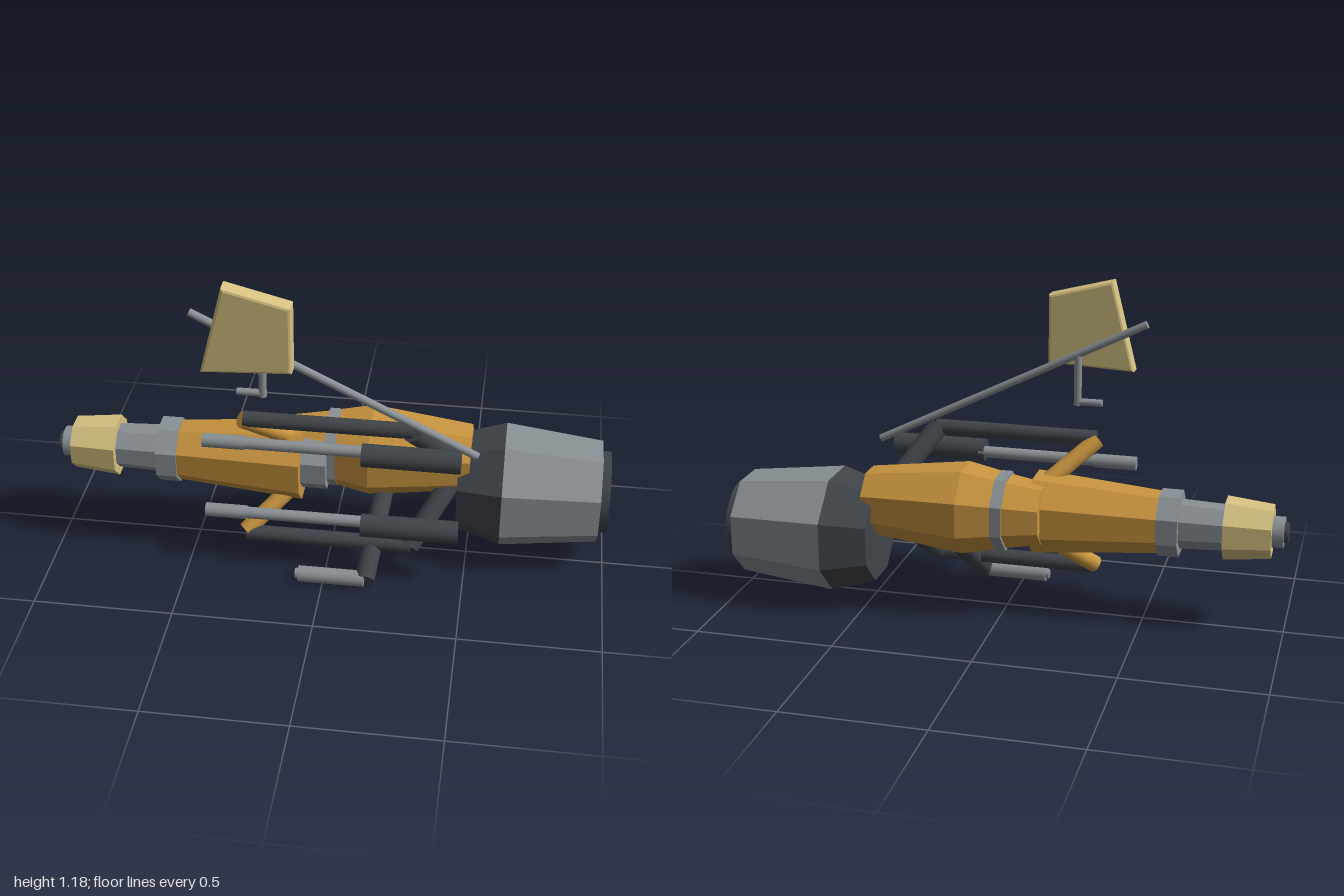
import * as THREE from 'three';

const mat = (name, color, flatShading = false) => {
  const m = new THREE.MeshStandardMaterial({ color, flatShading });
  m.name = name;
  return m;
};

export function createModel() {
  const group = new THREE.Group();
  const orange = mat('orange', 0xc8943f);
  const cream = mat('cream', 0xd6c282);
  const grey = mat('grey', 0x8a9195);
  const dark = mat('charcoal', 0x40454a);

  const add = (name, geometry, material) => {
    const mesh = new THREE.Mesh(geometry, material);
    mesh.name = name;
    group.add(mesh);
    return mesh;
  };

  // Eight-sided section along x; a0 and a1 are half-heights across the flats
  const section = (name, x0, x1, a0, a1, y, z, material) => {
    const k = Math.cos(Math.PI / 8);
    const g = new THREE.CylinderGeometry(a0 / k, a1 / k, x1 - x0, 8).toNonIndexed();
    g.rotateY(Math.PI / 8).rotateZ(Math.PI / 2);
    g.computeVertexNormals();
    g.translate((x0 + x1) / 2, y, z);
    return add(name, g, material);
  };

  // Round rod between two points
  const rod = (name, a, b, r, material, sides = 20) => {
    const p = new THREE.Vector3(...a), q = new THREE.Vector3(...b);
    const dir = q.clone().sub(p);
    const mesh = add(name, new THREE.CylinderGeometry(r, r, dir.length(), sides), material);
    mesh.position.copy(p).add(q).multiplyScalar(0.5);
    mesh.quaternion.setFromUnitVectors(new THREE.Vector3(0, 1, 0), dir.normalize());
    return mesh;
  };

  // Nose and forward body
  const fy = 0.375, fz = 0.014;
  rod('noseTip', [-1, fy, fz], [-0.98, fy, fz], 0.036, dark);
  rod('noseCap', [-0.985, fy, fz], [-0.94, fy, fz], 0.055, grey);
  section('noseCone', -0.945, -0.78, 0.088, 0.104, fy, fz, cream);
  section('neck', -0.79, -0.62, 0.075, 0.081, fy, fz, grey);
  section('collar', -0.625, -0.55, 0.11, 0.11, fy, fz, grey);
  section('forwardBody', -0.55, -0.1, 0.102, 0.138, fy, fz, orange);
  section('innerCore', -0.1, -0.01, 0.096, 0.096, fy, fz, grey);

  // Rear body
  const ry = 0.392, rz = -0.055;
  section('rearBodyFront', -0.145, -0.02, 0.102, 0.122, ry, rz, orange);
  section('bodyRing', -0.02, 0.02, 0.132, 0.132, ry, rz, grey);
  section('rearBodyMiddle', 0.02, 0.14, 0.13, 0.153, ry, rz, orange);
  section('rearBodyBack', 0.14, 0.5, 0.153, 0.112, ry, rz, orange);

  // Engine
  const ey = 0.275, ez = -0.07;
  section('engineIntake', 0.46, 0.62, 0.166, 0.21, ey, ez, dark);
  section('engineShell', 0.62, 0.968, 0.21, 0.173, ey, ez, grey);
  rod('exhaust', [0.96, ey, ez], [1, ey, ez], 0.148, dark, 40);

  // Upper and lower cannons with their protective rails and struts
  for (const s of [1, -1]) {
    const side = s > 0 ? 'upper' : 'lower';
    const y = 0.38 + s * 0.15, railY = 0.375 + s * 0.245;
    rod(side + 'Muzzle', [-0.435, y, 0.17], [-0.285, y, 0.17], 0.025, grey);
    rod(side + 'Barrel', [-0.29, y, 0.17], [0.15, y, 0.17], 0.021, grey);
    rod(side + 'CannonHousing', [0.13, y, 0.19], [0.475, y, 0.19], 0.041, dark);
    rod(side + 'Rail', [-0.29, railY, 0.152], [0.305, railY, 0.152], 0.028, dark);
    rod(side + 'FrontStrut', [-0.295, railY - s * 0.005, 0.15], [-0.13, 0.375 + s * 0.1, 0.03], 0.031, orange);
    rod(side + 'RearStrut', [0.3, railY, 0.155], [0.43, 0.375 + s * 0.06, 0.01], 0.038, dark);
  }

  // Underslung grip and small gun
  rod('grip', [0.153, 0.036, 0.25], [0.19, 0.25, -0.02], 0.036, dark);
  rod('smallGun', [-0.088, 0.036, 0.25], [0.15, 0.036, 0.25], 0.029, grey);
  rod('smallMuzzle', [-0.1, 0.036, 0.25], [-0.08, 0.036, 0.25], 0.019, grey);

  // Sight boom, hanging post and hook
  rod('boom', [-0.46, 1.043, 0.175], [0.53, 0.55, 0.175], 0.014, grey);
  rod('sightPost', [-0.215, 0.733, 0.175], [-0.215, 0.922, 0.175], 0.014, grey);
  rod('sightHook', [-0.305, 0.745, 0.175], [-0.21, 0.745, 0.175], 0.013, grey);

  // Bevelled cream shield plate
  const outline = [[-0.402, 0.869], [-0.324, 1.172], [-0.11, 1.117], [-0.11, 0.885]];
  const shape = new THREE.Shape(outline.map(p => new THREE.Vector2(...p)));
  const plate = new THREE.ExtrudeGeometry(shape, {
    depth: 0.045, bevelEnabled: true, bevelThickness: 0.01, bevelSize: 0.01, bevelSegments: 2,
  });
  plate.translate(0, 0, 0.205);
  add('shieldPlate', plate, cream);

  return group;
}
